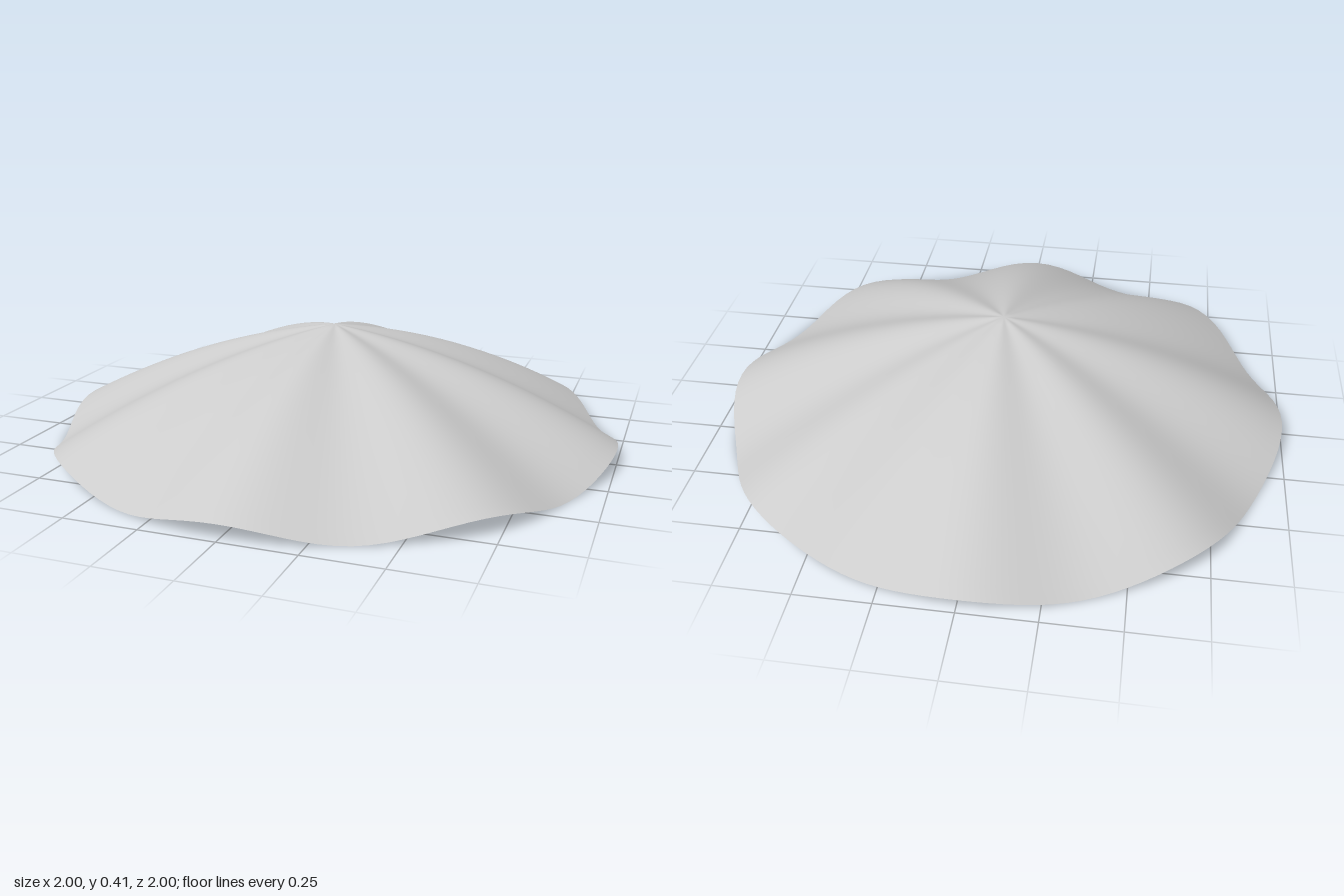
import * as THREE from 'three';
import { mergeVertices } from 'three/addons/utils/BufferGeometryUtils.js';

const LOBES = 8;
const RINGS = 24;
const SEGMENTS = 128;

export function createModel() {
  const group = new THREE.Group();
  group.name = 'wavyCanopy';

  const grey = new THREE.MeshStandardMaterial({ color: 0xcccccc, side: THREE.DoubleSide });
  grey.name = 'light grey';

  // Gently domed profile, from the rim up to the apex
  const profile = [];
  for (let i = RINGS; i >= 0; i--) {
    const t = i / RINGS;
    profile.push(new THREE.Vector2(t, 0.405 - 0.15 * t - 0.2 * t * t));
  }
  let geometry = new THREE.LatheGeometry(profile, SEGMENTS);

  // Eight folds that deepen towards the rim and pull it inwards
  const pos = geometry.attributes.position;
  for (let i = 0; i < pos.count; i++) {
    const x = pos.getX(i), z = pos.getZ(i);
    const fold = 1 - Math.cos(LOBES * Math.atan2(x, z));
    const pull = 1 - 0.015 * fold;
    const y = pos.getY(i) - 0.0275 * fold * Math.hypot(x, z);
    pos.setXYZ(i, x * pull, y, z * pull);
  }

  // Weld the seam and apex for smooth shading
  geometry.deleteAttribute('uv');
  geometry.deleteAttribute('normal');
  geometry = mergeVertices(geometry, 1e-5);
  geometry.computeVertexNormals();

  const canopy = new THREE.Mesh(geometry, grey);
  canopy.name = 'canopy';
  group.add(canopy);
  return group;
}
